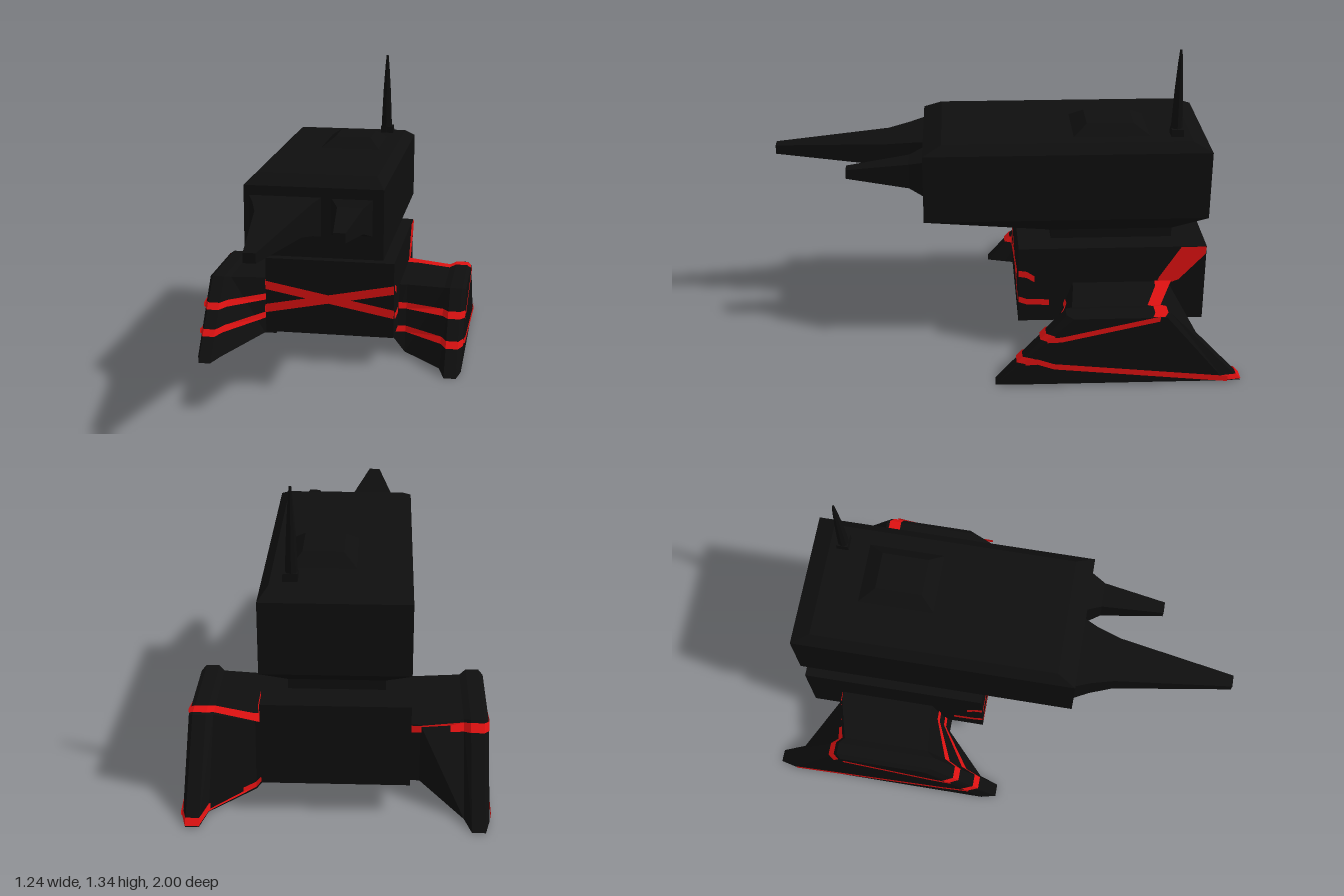
import * as THREE from 'three';

const V = (x, y, z) => new THREE.Vector3(x, y, z);
const black = new THREE.MeshStandardMaterial({ color: 0x0e0e0e, flatShading: true });
black.name = 'black armour';
const red = new THREE.MeshStandardMaterial({ color: 0xdc1111, side: THREE.DoubleSide, flatShading: true });
red.name = 'red paint';

function meshFrom(name, tris, material) {
  const g = new THREE.BufferGeometry().setFromPoints(tris);
  g.computeVertexNormals();
  const m = new THREE.Mesh(g, material);
  m.name = name;
  return m;
}

// Skin a closed solid over rings of corners; the winding is fixed by its signed volume
function loft(name, rings) {
  const t = [];
  const quad = (a, b, c, d) => t.push(a, b, c, a, c, d);
  for (let i = 0; i + 1 < rings.length; i++) {
    for (let j = 0; j < 4; j++) {
      const k = (j + 1) % 4;
      quad(rings[i][j], rings[i][k], rings[i + 1][k], rings[i + 1][j]);
    }
  }
  quad(...[...rings[0]].reverse());
  quad(...rings[rings.length - 1]);
  let volume = 0;
  const c = rings[0][0];
  for (let i = 0; i < t.length; i += 3) {
    const [a, b, d] = [0, 1, 2].map((n) => t[i + n].clone().sub(c));
    volume += a.dot(b.cross(d));
  }
  return meshFrom(name, volume < 0 ? t.reverse() : t, black);
}

// Horizontal and upright rectangular rings
const flatRing = (y, x0, x1, z0, z1) => [V(x0, y, z0), V(x1, y, z0), V(x1, y, z1), V(x0, y, z1)];
const uprightRing = (z, x0, x1, y0, y1) => [V(x0, y0, z), V(x1, y0, z), V(x1, y1, z), V(x0, y1, z)];

// Painted strip between pairs of edge points
function ribbon(name, pairs) {
  const t = [];
  for (let i = 0; i + 1 < pairs.length; i++) {
    const [a, b] = pairs[i], [c, d] = pairs[i + 1];
    t.push(a, c, d, a, d, b);
  }
  return meshFrom(name, t, red);
}
// Strip on a side wall, following [z, y] points
const sideStripe = (name, x, points, w) =>
  ribbon(name, points.map(([z, y]) => [V(x, y - w / 2, z), V(x, y + w / 2, z)]));

// Pod stations: x, bottom y, bottom back z, bottom front z, top y, top back z, top front z
function podStations(left) {
  const yIn = left ? 0.02 : 0.075;
  return [
    [0.28, left ? 0.09 : 0.075, -0.74, -0.22, 0.325, -0.72, -0.3],
    [0.335, yIn, -0.74, -0.22, 0.325, -0.72, -0.3],
    [0.512, left ? 0.016 : 0.006, -0.91, -0.04, 0.325, -0.67, -0.28],
    [0.54, 0.003, -1, 0.045, 0.335, -0.69, -0.25],
    [0.595, 0.003, -1, 0.045, 0.335, -0.69, -0.25],
    [0.613, 0.012, -0.93, -0.02, 0.325, -0.67, -0.28],
  ];
}

function pod(name, left) {
  const g = new THREE.Group();
  g.name = name;
  const s = left ? 1 : -1;
  const st = podStations(left);
  g.add(loft('podHull', st.map(([x, yb, b0, b1, yt, t0, t1]) =>
    [V(s * x, yb, b0), V(s * x, yb, b1), V(s * x, yt, t1), V(s * x, yt, t0)])));

  // Strip along the sloped front or back of the pod, one height per station
  const faceStripe = (label, front, heights, w) => ribbon(label, st.map(([x, yb, b0, b1, yt, t0, t1], i) => {
    const at = (y) => {
      const k = (y - yb) / (yt - yb);
      const z = front ? b1 + (t1 - b1) * k + 0.005 : b0 + (t0 - b0) * k - 0.005;
      return V(s * (i === 5 ? x + 0.003 : x), y + 0.003, z);
    };
    return [at(heights[i] - w / 2), at(heights[i] + w / 2)];
  }));
  const upper = left ? [0.23, 0.228, 0.228, 0.232, 0.232, 0.228] : [0.24, 0.238, 0.217, 0.217, 0.217, 0.217];
  const lower = left ? [0.125, 0.123, 0.121, 0.122, 0.122, 0.122] : [0.158, 0.155, 0.116, 0.115, 0.115, 0.115];
  g.add(faceStripe('upperFrontStripe', true, upper, 0.028));
  g.add(faceStripe('lowerFrontStripe', true, lower, 0.028));

  const x = s * 0.618;
  if (left) {
    // Stripes of the left pod
    g.add(sideStripe('upperSideStripe', x, [[-0.17, 0.228], [-0.23, 0.23], [-0.64, 0.322]], 0.024));
    g.add(sideStripe('lowerSideStripe', x, [[-0.08, 0.122], [-0.13, 0.125], [-0.2, 0.1], [-0.94, 0.024]], 0.026));
    g.add(faceStripe('backStripe', false, [0.11, 0.04, 0.03, 0.018, 0.018, 0.025], 0.024));
    g.add(ribbon('topStripe', [[0.3, -0.735, -0.66, 0.329], [0.35, -0.715, -0.655, 0.329], [0.512, -0.655, -0.6, 0.329],
      [0.54, -0.675, -0.62, 0.339], [0.595, -0.675, -0.62, 0.339], [0.613, -0.66, -0.61, 0.329]]
      .map(([px, z0, z1, y]) => [V(px, y, z0), V(px, y, z1)])));
  } else {
    // Stripes of the right pod
    g.add(sideStripe('upperSideStripe', x, [[-0.16, 0.217], [-0.25, 0.225], [-0.66, 0.305]], 0.024));
    g.add(sideStripe('lowerSideStripe', x, [[-0.08, 0.115], [-0.2, 0.095], [-0.92, 0.028]], 0.024));
    g.add(faceStripe('backStripe', false, [0.305, 0.305, 0.3, 0.31, 0.31, 0.305], 0.03));
  }
  return g;
}

export function createModel() {
  const model = new THREE.Group();
  model.name = 'turretWalker';

  // Lower hull and neck
  model.add(loft('lowerHull', [flatRing(0.14, -0.295, 0.299, -0.88, -0.065), flatRing(0.493, -0.295, 0.299, -0.88, -0.065)]));
  model.add(loft('neck', [flatRing(0.48, -0.193, 0.197, -0.74, -0.21), flatRing(0.54, -0.193, 0.197, -0.74, -0.21)]));

  // Turret with chamfered top and sloping underside
  model.add(loft('turret', [
    flatRing(0.535, -0.193, 0.197, -0.74, -0.21),
    flatRing(0.628, -0.295, 0.299, -0.88, 0.34),
    flatRing(0.93, -0.295, 0.299, -0.88, 0.34),
    flatRing(0.968, -0.255, 0.259, -0.8, 0.26),
  ]));
  model.add(loft('hatch', [flatRing(0.96, -0.085, 0.2, -0.64, -0.29), flatRing(1.01, -0.02, 0.145, -0.56, -0.36)]));

  // Tapering guns
  model.add(loft('largeGun', [
    uprightRing(0.32, -0.272, 0.035, 0.72, 0.89),
    uprightRing(0.34, -0.272, 0.035, 0.72, 0.888),
    uprightRing(0.4, -0.245, 0.01, 0.737, 0.877),
    uprightRing(0.5, -0.213, -0.018, 0.757, 0.86),
    uprightRing(1, -0.145, -0.095, 0.79, 0.83),
  ]));
  model.add(loft('smallGun', [
    uprightRing(0.32, 0.08, 0.252, 0.73, 0.885),
    uprightRing(0.34, 0.08, 0.252, 0.73, 0.885),
    uprightRing(0.4, 0.112, 0.222, 0.755, 0.865),
    uprightRing(0.67, 0.14, 0.19, 0.79, 0.83),
  ]));

  // Antenna on a small foot
  const profile = [[0.026, 0.95], [0.024, 1.03], [0.018, 1.17], [0.01, 1.29], [0.005, 1.345], [0, 1.346]];
  const antenna = new THREE.Mesh(
    new THREE.LatheGeometry(profile.map(([r, y]) => new THREE.Vector2(r, y)), 8), black);
  antenna.name = 'antenna';
  antenna.position.set(0.175, 0, -0.74);
  model.add(antenna);
  model.add(loft('antennaFoot', [flatRing(0.95, 0.15, 0.21, -0.768, -0.714), flatRing(1, 0.15, 0.208, -0.766, -0.716)]));

  // Side pods
  model.add(pod('leftPod', true), pod('rightPod', false));

  // Crossed stripes on the hull front, wrapping onto its sides
  const cross = (name, y0, y1, z) => ribbon(name, [[-0.296, y0], [0.3, y1]].map(([x, y]) =>
    [V(x, y - 0.02, z), V(x, y + 0.02, z)]));
  model.add(cross('crossStripeDown', 0.365, 0.253, -0.061), cross('crossStripeUp', 0.253, 0.37, -0.059));
  for (const x of [0.303, -0.299]) {
    model.add(sideStripe('hullSideUpperStripe', x, [[-0.065, 0.376], [-0.1, 0.37], [-0.135, 0.347]], 0.03));
    model.add(sideStripe('hullSideLowerStripe', x, [[-0.065, 0.25], [-0.1, 0.237], [-0.2, 0.232]], 0.028));
  }
  // Broad slanting stripe at the rear of the hull's left side
  model.add(ribbon('hullRearStripe', [
    [V(0.303, 0.325, -0.67), V(0.303, 0.325, -0.74)],
    [V(0.303, 0.35, -0.68), V(0.303, 0.335, -0.765)],
    [V(0.303, 0.493, -0.77), V(0.303, 0.46, -0.878)],
    [V(0.303, 0.493, -0.8), V(0.303, 0.493, -0.878)],
  ]));
  return model;
}
